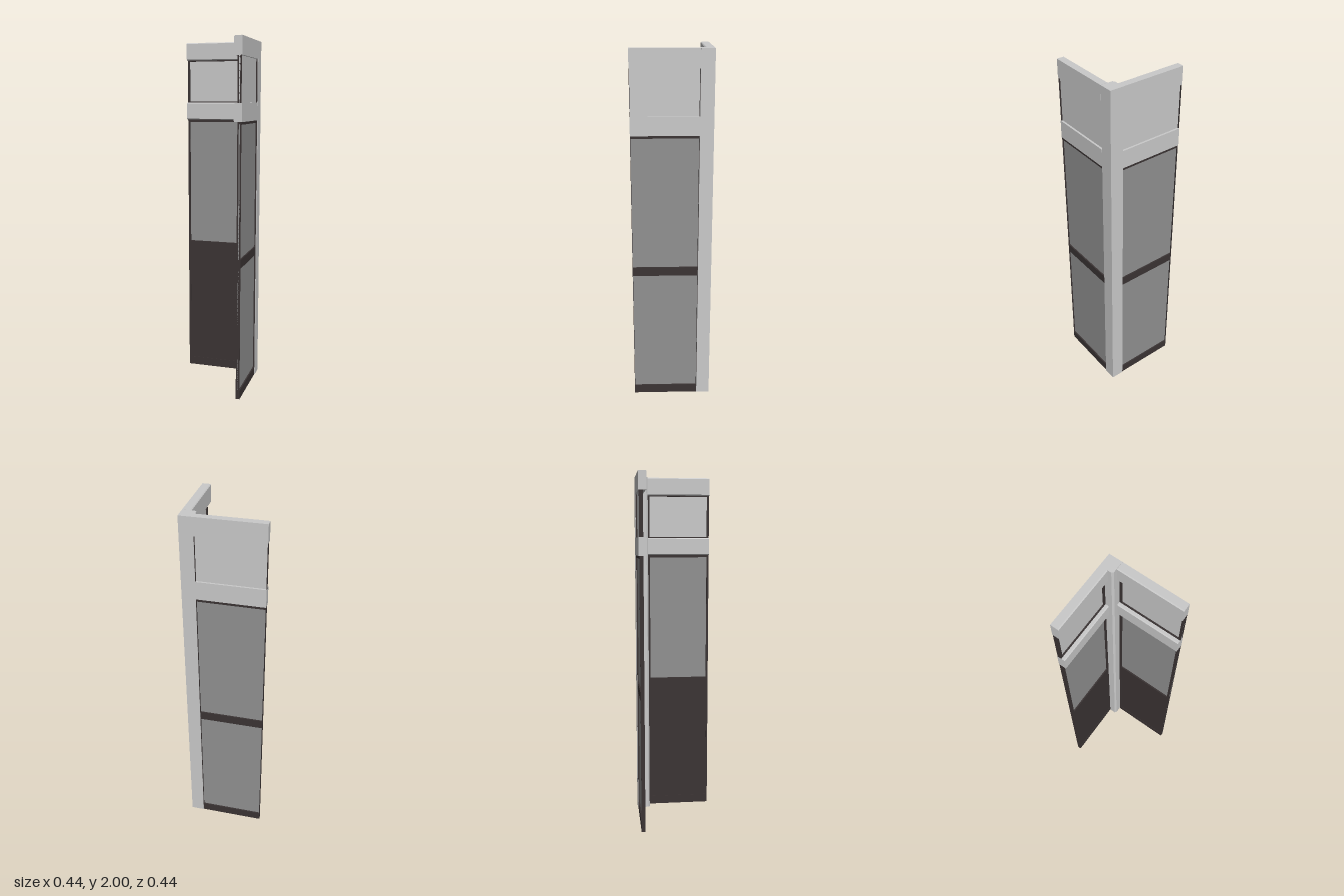
import * as THREE from 'three';

const stone = new THREE.MeshStandardMaterial({ color: 0xcacaca });
stone.name = 'pale stone';
const glass = new THREE.MeshStandardMaterial({ color: 0x919191 });
glass.name = 'grey glass';
const metal = new THREE.MeshStandardMaterial({ color: 0x3b3434 });
metal.name = 'dark metal';

const X0 = -0.22, X1 = 0.145, OUT = -0.22; // wing ends and outer face

function add(parent, name, geometry, material) {
  const mesh = new THREE.Mesh(geometry, material);
  mesh.name = name;
  parent.add(mesh);
  return mesh;
}

// Box given by its limits on each axis
function block(parent, name, material, x0, x1, y0, y1, z0, z1) {
  const g = new THREE.BoxGeometry(x1 - x0, y1 - y0, z1 - z0);
  g.translate((x0 + x1) / 2, (y0 + y1) / 2, (z0 + z1) / 2);
  return add(parent, name, g, material);
}

// Stone rail with chamfered inner edges, running along x
function rail(parent, name, y0, y1) {
  const c = 0.005, inn = -0.175;
  const profile = new THREE.Shape([
    [-OUT, y0], [-inn + c, y0], [-inn, y0 + c], [-inn, y1 - c], [-inn + c, y1], [-OUT, y1],
  ].map(([a, b]) => new THREE.Vector2(a, b)));
  const g = new THREE.ExtrudeGeometry(profile, { depth: X1 - X0, bevelEnabled: false });
  g.rotateY(Math.PI / 2); // profile axis x becomes -z, extrusion becomes +x
  g.translate(X0, 0, 0);
  add(parent, name, g, stone);
}

function makeWing(name) {
  const wing = new THREE.Group();
  wing.name = name;
  const face = -0.217, pane = -0.209, back = -0.203, inner = -0.195;

  rail(wing, 'topRail', 1.9, 2);
  rail(wing, 'middleRail', 1.555, 1.655);

  // Recessed panes
  block(wing, 'upperPanel', stone, X0 + 0.001, X1, 1.655, 1.9, pane, back);
  block(wing, 'upperWindow', glass, X0 + 0.001, X1, 0.81, 1.545, pane, back);
  block(wing, 'lowerWindow', glass, X0 + 0.001, X1, 0.05, 0.76, pane, back);

  // Crossbars
  block(wing, 'headBar', metal, X0, X1, 1.541, 1.555, face, inner);
  block(wing, 'middleBar', metal, X0, X1, 0.76, 0.81, face, inner);
  block(wing, 'bottomBar', metal, X0, X1, 0, 0.05, face, inner);
  block(wing, 'lowerInnerPanel', metal, X0, X1, 0.05, 0.76, back, inner - 0.002);
  for (const y of [1.655, 1.894])
    block(wing, 'panelTrim', metal, X0, X1, y, y + 0.006, back, inner);

  // Uprights on both ends: narrow outer reveal and wider inner stile
  for (const [y0, y1] of [[0.05, 0.76], [0.81, 1.541], [1.655, 1.9]]) {
    block(wing, 'outerReveal', metal, X0, X0 + 0.002, y0, y1, face, back);
    block(wing, 'outerReveal', metal, X1 - 0.002, X1, y0, y1, face, back);
    block(wing, 'innerStile', metal, X0, X0 + 0.012, y0, y1, back, inner);
    block(wing, 'innerStile', metal, X1 - 0.012, X1, y0, y1, back, inner);
  }
  return wing;
}

export function createModel() {
  const model = new THREE.Group();
  model.name = 'cornerFacade';

  // Corner column with a chamfered inner edge
  const plan = new THREE.Shape([
    [0.145, 0.22], [0.145, 0.155], [0.154, 0.146], [0.22, 0.146], [0.22, 0.22],
  ].map(([a, b]) => new THREE.Vector2(a, b)));
  const column = new THREE.ExtrudeGeometry(plan, { depth: 2, bevelEnabled: false });
  column.rotateX(-Math.PI / 2);
  add(model, 'cornerColumn', column, stone);

  // Two matching wings meeting at the column
  model.add(makeWing('backWing'));
  const side = makeWing('sideWing');
  side.rotation.y = -Math.PI / 2;
  side.position.z = 0.075;
  model.add(side);
  return model;
}
